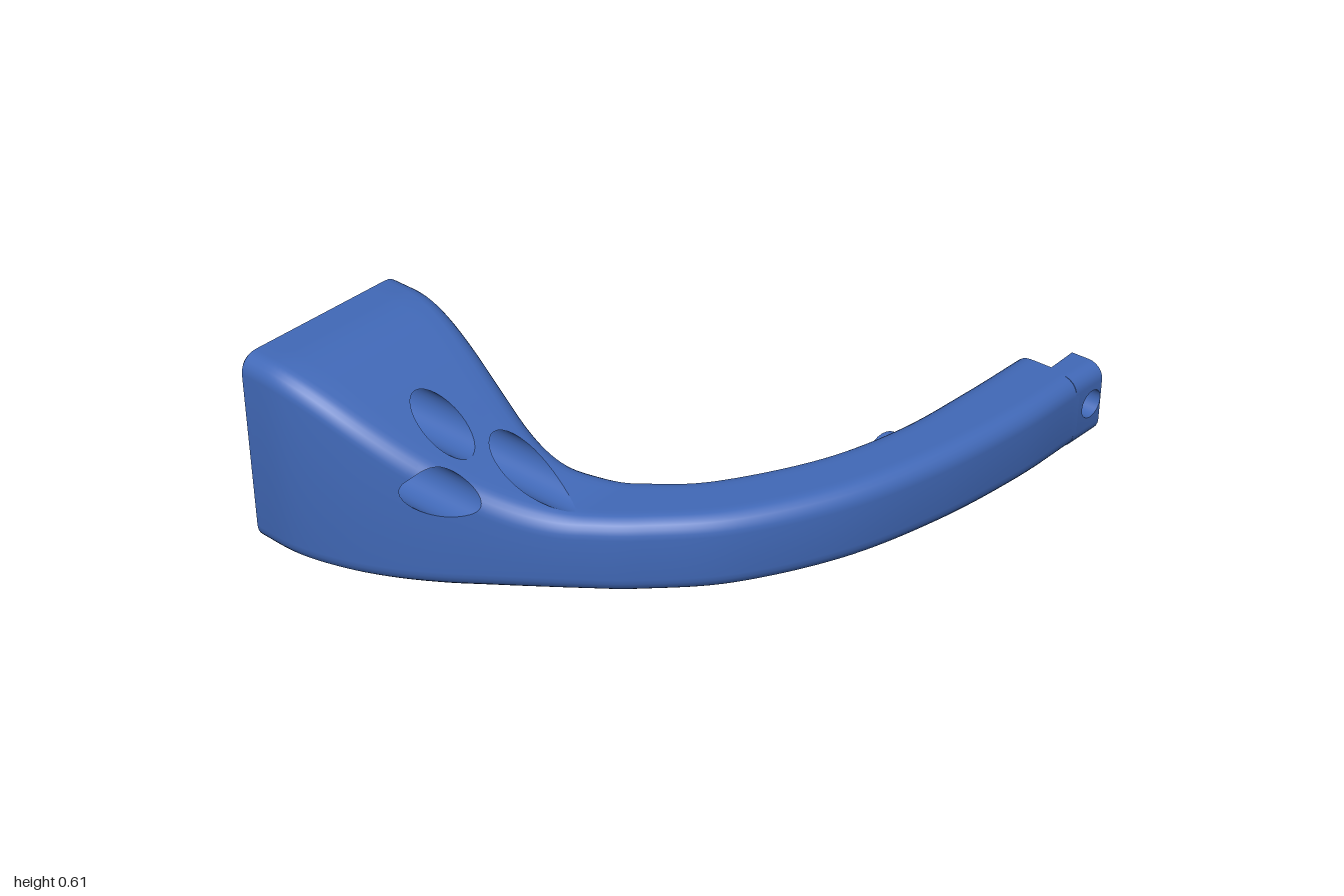
import * as THREE from 'three';
import { toCreasedNormals } from 'three/addons/utils/BufferGeometryUtils.js';

const SIDES = 32;
const V = (p) => new THREE.Vector3(p[0], 0, p[1]);

// Height of the top surface: flat arm rising in an S-curve to the mounting block
const topHeight = (z) => 0.24 + 0.365 * THREE.MathUtils.smoothstep((0.11 - z) / 0.78, 0, 1);

// Rounded cross-section of width w and nominal height 1, shrunk by e on all sides
function section(w, ro, ri, e) {
  const a = Math.max(ro - e, 0.001), b = Math.max(ri - e, 0.001);
  const corners = [
    [e + a, e + a, a, Math.PI], [w - e - b, e + b, b, 1.5 * Math.PI],
    [w - e - b, 1 - e - b, b, 0], [e + a, 1 - e - a, a, 0.5 * Math.PI],
  ];
  const pts = [];
  corners.forEach(([x, y, r, start], c) => {
    for (let i = 0; i <= 6; i++) {
      const t = start + (i / 6) * Math.PI / 2;
      pts.push([x + r * Math.cos(t), y + r * Math.sin(t)]);
    }
    if (c % 2 === 0) { // subdivide the bottom and top runs
      const [x0, y0] = pts[pts.length - 1], next = corners[c + 1][0];
      for (let i = 1; i < 8; i++) pts.push([x0 + (next - x0) * i / 8, y0]);
    }
  });
  return pts;
}

// Skin between an outer and an inner plan curve; stations are [t, inset]
function loft(outer, inner, stations, ro, ri) {
  const pos = [], index = [];
  let n = 0;
  for (const [t, e] of stations) {
    const O = outer.getPoint(t), I = inner.getPoint(t), w = O.distanceTo(I);
    const ring = section(w, ro, ri, e);
    n = ring.length;
    for (const [a, y] of ring) {
      const p = O.clone().lerp(I, a / w);
      pos.push(p.x, y > 0.5 ? topHeight(p.z) - (1 - y) : y, p.z);
    }
  }
  const last = (stations.length - 1) * n;
  for (let i = 0; i < last; i += n) {
    for (let j = 0; j < n; j++) {
      const k = (j + 1) % n;
      index.push(i + j, i + k, i + n + k, i + j, i + n + k, i + n + j);
    }
  }
  // end caps
  for (const [base, flip] of [[0, true], [last, false]]) {
    const c = [0, 0, 0];
    for (let j = 0; j < n; j++) for (let k = 0; k < 3; k++) c[k] += pos[(base + j) * 3 + k] / n;
    const ci = pos.length / 3;
    pos.push(...c);
    for (let j = 0; j < n; j++) {
      const a = base + j, b = base + (j + 1) % n;
      index.push(ci, flip ? b : a, flip ? a : b);
    }
  }
  let g = new THREE.BufferGeometry();
  g.setAttribute('position', new THREE.Float32BufferAttribute(pos, 3));
  g.setIndex(index);
  g = toCreasedNormals(g, 0.55);
  const P = g.attributes.position, N = g.attributes.normal, tris = [];
  const vert = (i) => [P.getX(i), P.getY(i), P.getZ(i), N.getX(i), N.getY(i), N.getZ(i)];
  for (let i = 0; i < P.count; i += 3) tris.push([vert(i), vert(i + 1), vert(i + 2)]);
  return tris;
}

// Split a convex polygon by a plane function
function split(poly, f) {
  const inside = [], outside = [];
  poly.forEach((a, i) => {
    const b = poly[(i + 1) % poly.length], fa = f(a), fb = f(b);
    if (fa >= 0) inside.push(a);
    if (fa <= 0) outside.push(a);
    if (fa * fb < 0) {
      const m = a.map((v, k) => v + (b[k] - v) * fa / (fa - fb));
      inside.push(m);
      outside.push(m);
    }
  });
  return [inside, outside];
}

// Cut a round hole along z from one side (dir = 1 front, -1 back) down to the seat
function drill(tris, cx, cy, r, seat, dir) {
  const planes = [(v) => dir * (v[2] - seat)];
  for (let i = 0; i < SIDES; i++) {
    const t = (i + 0.5) / SIDES * 2 * Math.PI, c = Math.cos(t), s = Math.sin(t);
    const d = r * Math.cos(Math.PI / SIDES);
    planes.push((v) => d - (v[0] - cx) * c - (v[1] - cy) * s);
  }
  const out = [];
  const emit = (p) => { for (let i = 2; i < p.length; i++) out.push([p[0], p[i - 1], p[i]]); };
  const wall = (v, z) => [v[0], v[1], z, (cx - v[0]) / r, (cy - v[1]) / r, 0];
  for (const tri of tris) {
    if (planes.some((f) => tri.every((v) => f(v) <= 0))) { out.push(tri); continue; }
    let poly = tri;
    const pieces = [];
    for (const f of planes) {
      const [inside, outside] = split(poly, f);
      pieces.push(outside);
      poly = inside;
      if (poly.length < 3) break;
    }
    if (poly.length < 3) { out.push(tri); continue; }
    pieces.forEach(emit);
    // hole wall from the rim down to the seat
    poly.forEach((a, i) => {
      const b = poly[(i + 1) % poly.length];
      if (planes.some((f, k) => k > 0 && Math.abs(f(a)) < 1e-7 && Math.abs(f(b)) < 1e-7)) {
        emit([wall(a, a[2]), wall(b, b[2]), wall(b, seat), wall(a, seat)]);
      }
    });
  }
  return out;
}

function toGeometry(tris) {
  const g = new THREE.BufferGeometry(), flat = tris.flat();
  g.setAttribute('position', new THREE.Float32BufferAttribute(flat.flatMap((v) => v.slice(0, 3)), 3));
  g.setAttribute('normal', new THREE.Float32BufferAttribute(flat.flatMap((v) => v.slice(3)), 3));
  return g;
}

export function createModel() {
  const group = new THREE.Group();
  const material = new THREE.MeshStandardMaterial({ color: 0x4169b8 });
  const add = (name, geometry) => {
    const mesh = new THREE.Mesh(geometry, material);
    mesh.name = name;
    group.add(mesh);
    return mesh;
  };
  // stepped hole: wide bore from the front, narrow bore from the back, flat seat between
  const bore = (tris, [x, y, R, r, seat]) => {
    add('screwSeat', new THREE.RingGeometry(r, R, SIDES).translate(x, y, seat));
    return drill(drill(tris, x, y, R, seat, 1), x, y, r, seat, -1);
  };

  // Mounting block flowing into the curved arm
  const outer = new THREE.CatmullRomCurve3([
    [-1, -0.76], [-1, -0.6], [-0.965, -0.45], [-0.91, -0.32], [-0.84, -0.2], [-0.77, -0.1], [-0.7, 0],
    [-0.61, 0.125], [-0.51, 0.25], [-0.32, 0.43], [-0.03, 0.59], [0.29, 0.685], [0.61, 0.735], [0.875, 0.75],
  ].map(V), false, 'catmullrom');
  const inner = new THREE.CatmullRomCurve3([
    [-0.4, -0.76], [-0.405, -0.6], [-0.425, -0.45], [-0.445, -0.32], [-0.46, -0.2], [-0.457, -0.12], [-0.44, -0.06],
    [-0.4, 0], [-0.33, 0.1], [-0.2, 0.24], [0.07, 0.395], [0.34, 0.475], [0.62, 0.505], [0.875, 0.52],
  ].map(V), false, 'catmullrom');
  const stations = [[0, 0.015]];
  for (let i = 0; i <= 110; i++) stations.push([0.007 + 0.993 * i / 110, 0]);
  let body = loft(outer, inner, stations, 0.055, 0.055);
  for (const [x, y] of [[-0.7, 0.43], [-0.82, 0.31], [-0.58, 0.31]]) {
    body = bore(body, [x, y, 0.068, 0.034, -0.55]);
  }
  add('arm', toGeometry(body));

  // Thin lap tongue at the free end
  const tip = loft(
    new THREE.LineCurve3(V([0.86, 0.749]), V([1, 0.757])),
    new THREE.LineCurve3(V([0.86, 0.645]), V([1, 0.645])),
    [[0, 0], [0.9, 0], [1, 0.014]], 0.05, 0.004);
  add('tongue', toGeometry(bore(tip, [0.94, 0.125, 0.045, 0.022, 0.7])));

  // Pegs on the inner side of the arm: face centre x, z, radius, direction x, z
  for (const [x, z, r, dx, dz] of [
    [-0.175, 0.213, 0.03, 0.57, -0.82], [0.36, 0.425, 0.055, 0.29, -0.96], [0.46, 0.44, 0.032, 0.29, -0.96],
  ]) {
    const dir = new THREE.Vector3(dx, 0, dz).normalize();
    const peg = add('peg', new THREE.CylinderGeometry(r, r, 0.12, 24));
    peg.quaternion.setFromUnitVectors(new THREE.Vector3(0, 1, 0), dir);
    peg.position.set(x, 0.122, z).addScaledVector(dir, -0.06);
  }
  return group;
}
